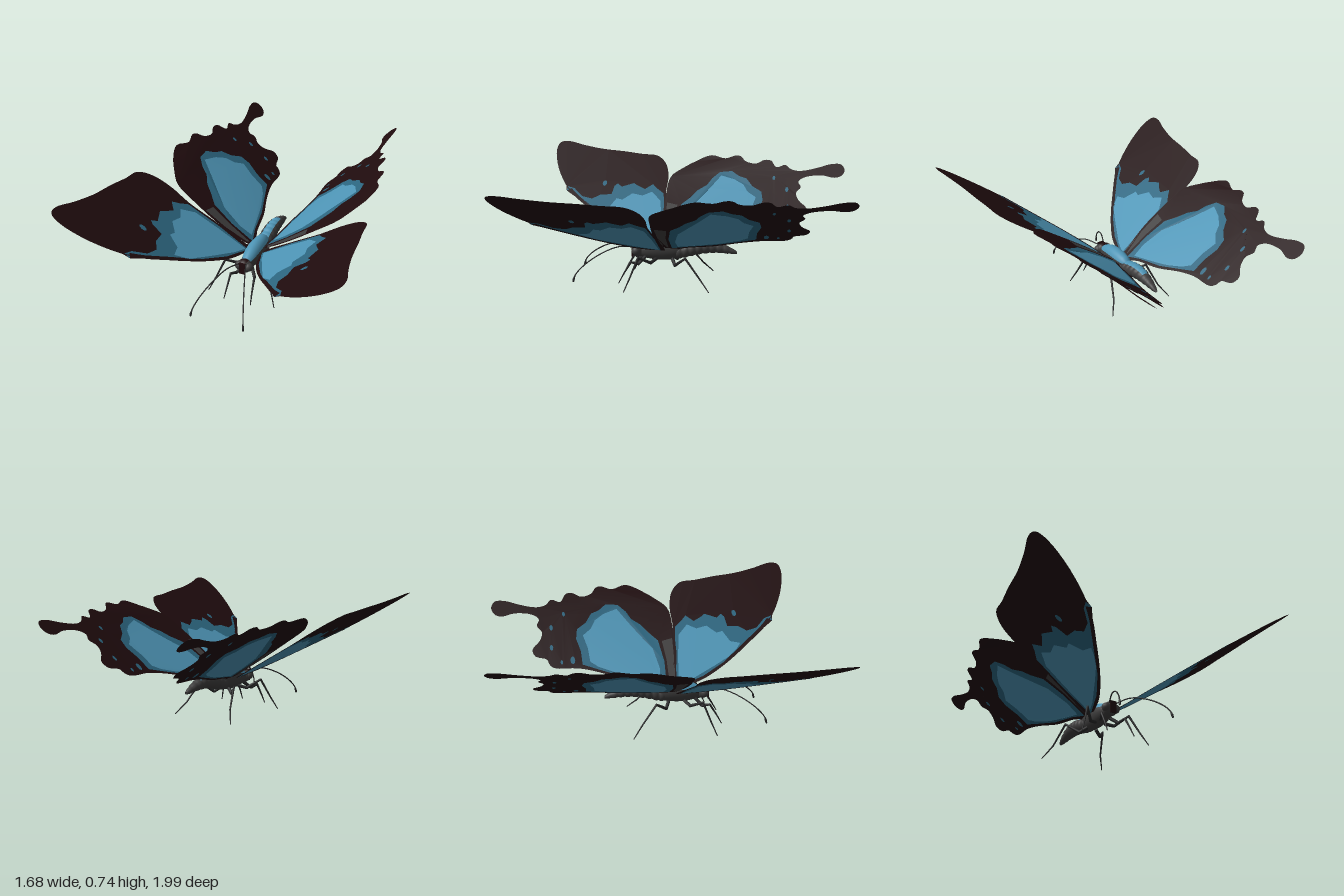
import * as THREE from 'three';

const mat = (name, color, side = THREE.FrontSide) => {
  const m = new THREE.MeshStandardMaterial({ color, side });
  m.name = name;
  return m;
};
const V = (x, y, z) => new THREE.Vector3(x, y, z);
const pairs = a => Array.from({ length: a.length / 2 }, (_, i) => new THREE.Vector2(a[2 * i], a[2 * i + 1]));

// Wing outlines and colour regions as x, z pairs for the left side
const FORE = [.03, .13, .05, .2, .085, .32, .17, .48, .3, .665, .43, .825, .615, .945, .77, .99, .83, .975, .842, .92,
  .81, .8, .78, .66, .762, .5, .743, .375, .73, .265, .665, .2, .56, .172, .43, .175, .24, .145];
const FORE_MID = [.045, .15, .07, .22, .105, .325, .185, .475, .31, .65, .385, .745, .43, .795, .455, .82, .435, .85,
  .47, .85, .455, .8, .395, .735, .378, .665, .41, .615, .415, .54, .48, .53, .5, .51, .475, .48, .505, .4, .485, .37,
  .46, .32, .5, .27, .465, .235, .43, .19, .24, .16];
const FORE_LIGHT = [.06, .16, .09, .25, .165, .41, .235, .55, .3, .605, .315, .54, .385, .5, .375, .46, .425, .4,
  .41, .33, .44, .27, .375, .205, .23, .18];
const HIND = [.03, .1, .065, -.02, .095, -.19, .14, -.34, .165, -.47, .17, -.62, .192, -.65, .215, -.66, .235, -.735,
  .27, -.75, .32, -.70, .365, -.685, .4, -.715, .435, -.7, .46, -.74, .465, -.85, .445, -.935, .455, -.98, .487, -1,
  .522, -.98, .53, -.915, .513, -.82, .503, -.71, .52, -.65, .55, -.615, .54, -.555, .587, -.52, .597, -.475,
  .578, -.42, .6, -.35, .64, -.315, .65, -.28, .637, -.21, .672, -.115, .645, -.02, .59, .07, .52, .15, .4, .168, .2, .165];
const HIND_MID = [.05, .08, .08, -.02, .11, -.19, .155, -.34, .185, -.44, .26, -.445, .33, -.47, .385, -.46, .425, -.4,
  .48, -.36, .5, -.31, .54, -.26, .54, -.18, .5, -.13, .455, -.1, .42, -.04, .375, 0, .32, .06, .19, .085];
const HIND_LIGHT = [.075, .04, .1, -.08, .13, -.22, .17, -.34, .2, -.39, .28, -.4, .35, -.425, .39, -.37, .44, -.34,
  .48, -.28, .515, -.19, .43, -.12, .35, -.05, .27, .02, .15, .05];
const HIND_GREY = [.06, .1, .2, .1, .315, .085, .33, .155, .2, .15, .08, .14];
const spot = (x, z, r) => Array.from({ length: 16 }, (_, i) => i % 2
  ? z + r * .7 * Math.sin((i - 1) * Math.PI / 8) : x + r * Math.cos(i * Math.PI / 8));

const foreHeight = (x, z) => .206 + .655 * x;
const hindHeight = (x, z) => .22 + .7 * x + .2 * x * Math.max(0, -z);

export function createModel() {
  const root = new THREE.Group();
  root.name = 'butterfly';
  const dark = mat('wing dark', 0x200c0e, THREE.DoubleSide);
  const mid = mat('wing deep blue', 0x2c6680, THREE.DoubleSide);
  const light = mat('wing bright blue', 0x4e95b6, THREE.DoubleSide);
  const grey = mat('body grey', 0x3e3d3d, THREE.DoubleSide);
  const legMat = mat('leg charcoal', 0x282829);

  const add = (parent, name, geo, material) => {
    const m = new THREE.Mesh(geo, material);
    m.name = name;
    parent.add(m);
    return m;
  };

  // One flat coloured region laid on the wing surface, with cut-outs for other colours
  const region = (points, holes, height, s) => {
    const shape = new THREE.Shape(points);
    shape.holes = holes.map(h => new THREE.Path(h));
    const g = new THREE.ShapeGeometry(shape), p = g.attributes.position;
    for (let i = 0; i < p.count; i++) {
      const x = p.getX(i), z = p.getY(i);
      p.setXYZ(i, s * x, height(x, z), z);
    }
    g.computeVertexNormals();
    return g;
  };

  const wing = (name, s, height, outline, midPts, lightPts, extras) => {
    const group = new THREE.Group();
    group.name = name;
    const curve = new THREE.CatmullRomCurve3(pairs(outline).map(p => V(p.x, p.y, 0)), true, 'centripetal');
    const edge = curve.getPoints(outline.length * 2).slice(0, -1).map(p => new THREE.Vector2(p.x, p.y));
    const m = pairs(midPts), l = pairs(lightPts);
    const ex = extras.map(e => ({ pts: pairs(e.pts), material: e.material }));
    add(group, 'border', region(edge, [m, ...ex.map(e => e.pts)], height, s), dark);
    add(group, 'blueRim', region(m, [l], height, s), mid);
    add(group, 'blueField', region(l, [], height, s), light);
    ex.forEach(e => add(group, 'spot', region(e.pts, [], height, s), e.material));
    root.add(group);
  };

  // Ring loft along z; sections are [z, centre y, half width, half height]
  const loft = (sections, from, to, n = 20) => {
    const pos = [], idx = [];
    sections.forEach(([z, y, rx, ry]) => {
      for (let j = 0; j <= n; j++) {
        const t = THREE.MathUtils.degToRad(from + (to - from) * j / n);
        pos.push(rx * Math.cos(t), y + ry * Math.sin(t), z);
      }
    });
    for (let i = 0; i < sections.length - 1; i++) for (let j = 0; j < n; j++) {
      const a = i * (n + 1) + j, c = a + n + 1;
      idx.push(a, a + 1, c, a + 1, c + 1, c);
    }
    const g = new THREE.BufferGeometry();
    g.setAttribute('position', new THREE.Float32BufferAttribute(pos, 3));
    g.setIndex(idx);
    g.computeVertexNormals();
    return g;
  };

  // Abdomen with ringed segments and a blue stripe along the back
  const abdomen = [];
  for (let i = 0; i <= 54; i++) {
    const u = i / 54, bulge = .88 + .12 * Math.abs(Math.sin(u * Math.PI * 9));
    const r = .05 * Math.pow(Math.sin(Math.PI * (.02 + .6 * u)), .6) * bulge;
    abdomen.push([-.32 + .38 * u, .222 + .035 * Math.sin(Math.PI * Math.min(1, u * 1.1)), r, r * .95]);
  }
  add(root, 'abdomenSides', loft(abdomen, 125, 415), grey);
  add(root, 'abdomenTip', loft(abdomen.slice(0, 18), 55, 125, 8), grey);
  add(root, 'abdomenStripe', loft(abdomen.slice(17), 55, 125, 8), light);

  // Thorax and head
  const thorax = [[.0, .24, .025, .03], [.03, .238, .042, .055], [.08, .236, .05, .066], [.14, .235, .053, .071],
    [.2, .232, .05, .066], [.25, .227, .042, .052], [.28, .223, .03, .038]];
  add(root, 'thoraxUnderside', loft(thorax, 155, 385), grey);
  add(root, 'thoraxBack', loft(thorax, 25, 155), light);
  const head = [];
  for (let i = 0; i <= 10; i++) {
    const a = Math.PI * i / 10, r = Math.sin(a);
    head.push([.3 - .038 * Math.cos(a), .223, .046 * r, .045 * r]);
  }
  add(root, 'head', loft(head, 120, 420), grey);
  add(root, 'faceBand', loft(head, 60, 120, 8), dark);
  const face = add(root, 'facePlate', new THREE.BoxGeometry(.04, .075, .008), dark);
  face.position.set(0, .222, .335);

  // Tapered rod chain through a list of joints
  const limb = (name, joints, radii) => {
    const group = new THREE.Group();
    group.name = name;
    for (let i = 0; i < joints.length - 1; i++) {
      const a = joints[i], d = joints[i + 1].clone().sub(a);
      const rod = add(group, 'segment', new THREE.CylinderGeometry(radii[i + 1], radii[i], d.length(), 8), legMat);
      rod.position.copy(a).addScaledVector(d, .5);
      rod.quaternion.setFromUnitVectors(V(0, 1, 0), d.normalize());
      const joint = add(group, 'joint', new THREE.SphereGeometry(radii[i + 1], 8, 6), legMat);
      joint.position.copy(joints[i + 1]);
    }
    root.add(group);
  };

  for (const [side, s] of [['left', 1], ['right', -1]]) {
    wing(side + 'Forewing', s, foreHeight, FORE, FORE_MID, FORE_LIGHT,
      [{ pts: spot(.5, .6, .022), material: mid }]);
    wing(side + 'Hindwing', s, hindHeight, HIND, HIND_MID, HIND_LIGHT, [
      { pts: HIND_GREY, material: grey },
      ...[[.21, -.5, .022], [.28, -.63, .016], [.39, -.625, .016], [.47, -.54, .014], [.2, -.57, .012]]
        .map(([x, z, r]) => ({ pts: spot(x, z, r), material: mid }))]);

    const eye = add(root, side + 'Eye', new THREE.SphereGeometry(.028, 16, 12), grey);
    eye.position.set(s * .03, .225, .308);

    const legRadii = [.011, .01, .007, .005, .003];
    limb(side + 'FrontLeg', [V(s * .025, .19, .25), V(s * .06, .15, .29), V(s * .078, .165, .335),
      V(s * .083, .09, .38), V(s * .088, .03, .412)], legRadii);
    limb(side + 'MiddleLeg', [V(s * .03, .18, .18), V(s * .08, .165, .21), V(s * .14, .215, .28),
      V(s * .185, .1, .325), V(s * .22, .018, .36)], legRadii);
    limb(side + 'HindLeg', [V(s * .03, .18, .08), V(s * .07, .15, .06), V(s * .13, .215, -.01),
      V(s * .165, .1, -.1), V(s * .21, .03, -.16)], legRadii);

    // Antenna with a clubbed end
    const path = new THREE.CatmullRomCurve3([V(s * .02, .25, .325), V(s * .06, .256, .42), V(s * .105, .215, .53),
      V(s * .145, .15, .625), V(s * .165, .095, .672), V(s * .17, .06, .682)]);
    add(root, side + 'Antenna', new THREE.TubeGeometry(path, 30, .004, 6), legMat);
    limb(side + 'AntennaClub', [path.getPoint(.8), path.getPoint(.92), path.getPoint(1)], [.004, .007, .006]);
  }
  return root;
}
